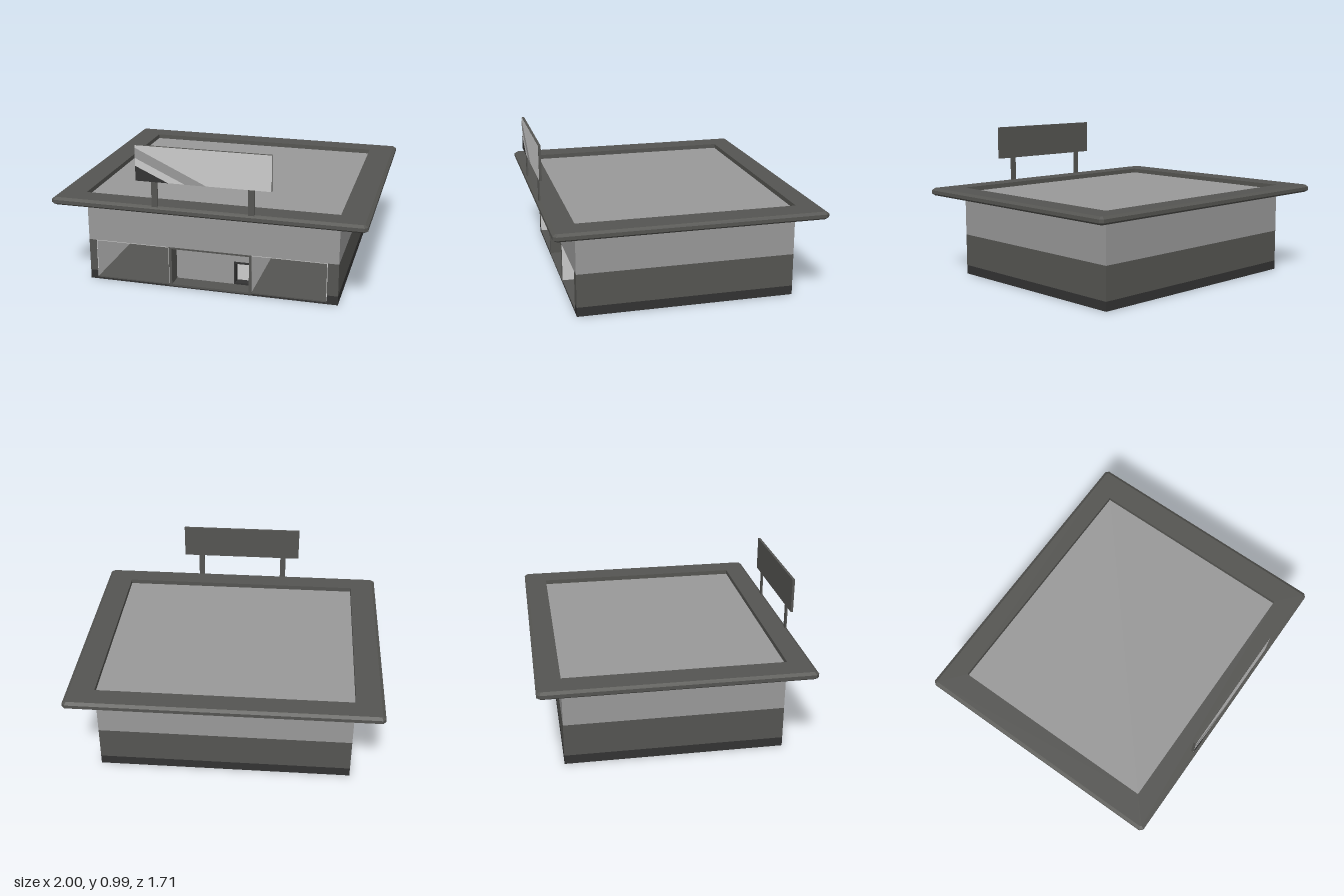
import * as THREE from 'three';

const paint = (color) => new THREE.MeshStandardMaterial({ color, flatShading: true });
const LIGHT = paint(0xcccccc);
const MID = paint(0x999999);
const DARK = paint(0x555552);
const BLACK = paint(0x333333);

export function createModel() {
  const model = new THREE.Group();

  const add = (name, geometry, material) => {
    const mesh = new THREE.Mesh(geometry, material);
    mesh.name = name;
    model.add(mesh);
    return mesh;
  };
  // Box given by its limits on each axis
  const box = (name, material, x0, x1, y0, y1, z0, z1) =>
    add(name, new THREE.BoxGeometry(x1 - x0, y1 - y0, z1 - z0)
      .translate((x0 + x1) / 2, (y0 + y1) / 2, (z0 + z1) / 2), material);
  const polygon = (points) => new THREE.Shape(points.map(([x, y]) => new THREE.Vector2(x, y)));
  const rect = (x0, x1, y0, y1) => [[x0, y0], [x1, y0], [x1, y1], [x0, y1]];
  // Upright panel with a rectangular opening
  const frame = (name, material, outer, inner, z0, z1) => {
    const shape = polygon(rect(...outer));
    shape.holes.push(polygon(rect(...inner)));
    add(name, new THREE.ExtrudeGeometry(shape, { depth: z1 - z0, bevelEnabled: false })
      .translate(0, 0, z0), material);
  };

  const W = 0.82, D = 0.7, BACK = 0.1;
  const rooms = [[-0.77, -0.275], [0.265, 0.75]];

  // Lower walls: floor plan with two display bays and a door recess in the front
  const plan = [[-W, -D]];
  for (const [x0, x1, z] of [[...rooms[0], BACK], [-0.265, 0.255, 0.54], [...rooms[1], BACK]]) {
    plan.push([x0, -D], [x0, -z], [x1, -z], [x1, -D]);
  }
  plan.push([W, -D], [W, D], [-W, D]);
  const walls = (name, material, y0, y1) =>
    add(name, new THREE.ExtrudeGeometry(polygon(plan), { depth: y1 - y0, bevelEnabled: false })
      .rotateX(-Math.PI / 2).translate(0, y0, 0), material);
  walls('plinth', BLACK, 0.01, 0.06);
  walls('lowerWalls', DARK, 0.06, 0.275);
  box('foundation', BLACK, -W, W, 0, 0.012, -D, D);
  box('upperWalls', MID, -W, W, 0.275, 0.565, -D, D);

  // Display bays: dark floor, light lining
  const t = 0.004, front = D - 0.001;
  for (const [x0, x1] of rooms) {
    box('bayFloor', DARK, x0, x1, 0.012, 0.02, BACK, D);
    box('bayLeftLining', LIGHT, x1 - t, x1, 0.02, 0.275, BACK, front);
    box('bayRightLining', LIGHT, x0, x0 + t, 0.02, 0.275, BACK, front);
    box('bayBackLining', LIGHT, x0, x1, 0.02, 0.275, BACK, BACK + t);
    box('bayCeiling', LIGHT, x0, x1, 0.275 - t, 0.276, BACK, front);
  }

  // Recessed entrance with a small framed hatch
  frame('doorFrame', DARK, [-0.275, 0.268, 0.008, 0.275], [-0.257, 0.252, 0.02, 0.264], 0.59, 0.702);
  frame('doorPanel', MID, [-0.262, 0.255, 0.015, 0.27], [0.138, 0.247, 0.032, 0.167], 0.59, 0.6);
  frame('hatchFrame', BLACK, [0.13, 0.254, 0.022, 0.177], [0.14, 0.245, 0.034, 0.165], 0.55, 0.606);
  box('hatchPanel', LIGHT, 0.13, 0.254, 0.022, 0.177, 0.542, 0.555);

  // Roof rim: bevelled loops joined from the underside, round the edge, into the roof well
  const loop = (hx, hz, y, cut) => {
    const quarter = [[hx, hz - cut], [hx - cut, hz]];
    const half = [...quarter, ...quarter.map(([x, z]) => [-x, z]).reverse()];
    return [...half, ...half.map(([x, z]) => [-x, -z])].map(([x, z]) => [x, y, z]);
  };
  const loops = [
    loop(W, D, 0.55, 0), loop(0.98, 0.835, 0.55, 0.008),
    loop(1, 0.855, 0.564, 0.02), loop(1, 0.855, 0.586, 0.02),
    loop(0.98, 0.835, 0.6, 0.008), loop(W, D, 0.6, 0), loop(W, D, 0.55, 0),
  ];
  const corners = [];
  for (let i = 0; i < loops.length - 1; i++) {
    for (let j = 0; j < 8; j++) {
      const k = (j + 1) % 8;
      const [a, b, c, d] = [loops[i][j], loops[i][k], loops[i + 1][k], loops[i + 1][j]];
      corners.push(...a, ...d, ...b, ...b, ...d, ...c);
    }
  }
  const rim = new THREE.BufferGeometry();
  rim.setAttribute('position', new THREE.Float32BufferAttribute(corners, 3));
  rim.computeVertexNormals();
  const rimMaterial = paint(0x555552);
  rimMaterial.side = THREE.DoubleSide;
  add('roofRim', rim, rimMaterial);
  box('roofDeck', MID, -W, W, 0.56, 0.57, -D, D);

  // Sign board on two thin posts
  for (const x of [-0.31, 0.3]) box('signPost', DARK, x - 0.02, x + 0.02, 0.58, 0.77, 0.833, 0.842);
  box('signBoard', DARK, -0.425, 0.425, 0.76, 0.985, 0.832, 0.848);
  const decal = (name, material, points, z) =>
    add(name, new THREE.ShapeGeometry(polygon(points)).translate(0, 0, z), material);
  decal('signFace', LIGHT, rect(-0.425, 0.425, 0.76, 0.985), 0.849);
  decal('signStripe', MID, [[-0.425, 0.905], [-0.11, 0.76], [0.025, 0.76], [-0.425, 0.97]], 0.851);
  decal('signCorner', BLACK, [[-0.425, 0.76], [-0.215, 0.76], [-0.425, 0.855]], 0.851);

  return model;
}
